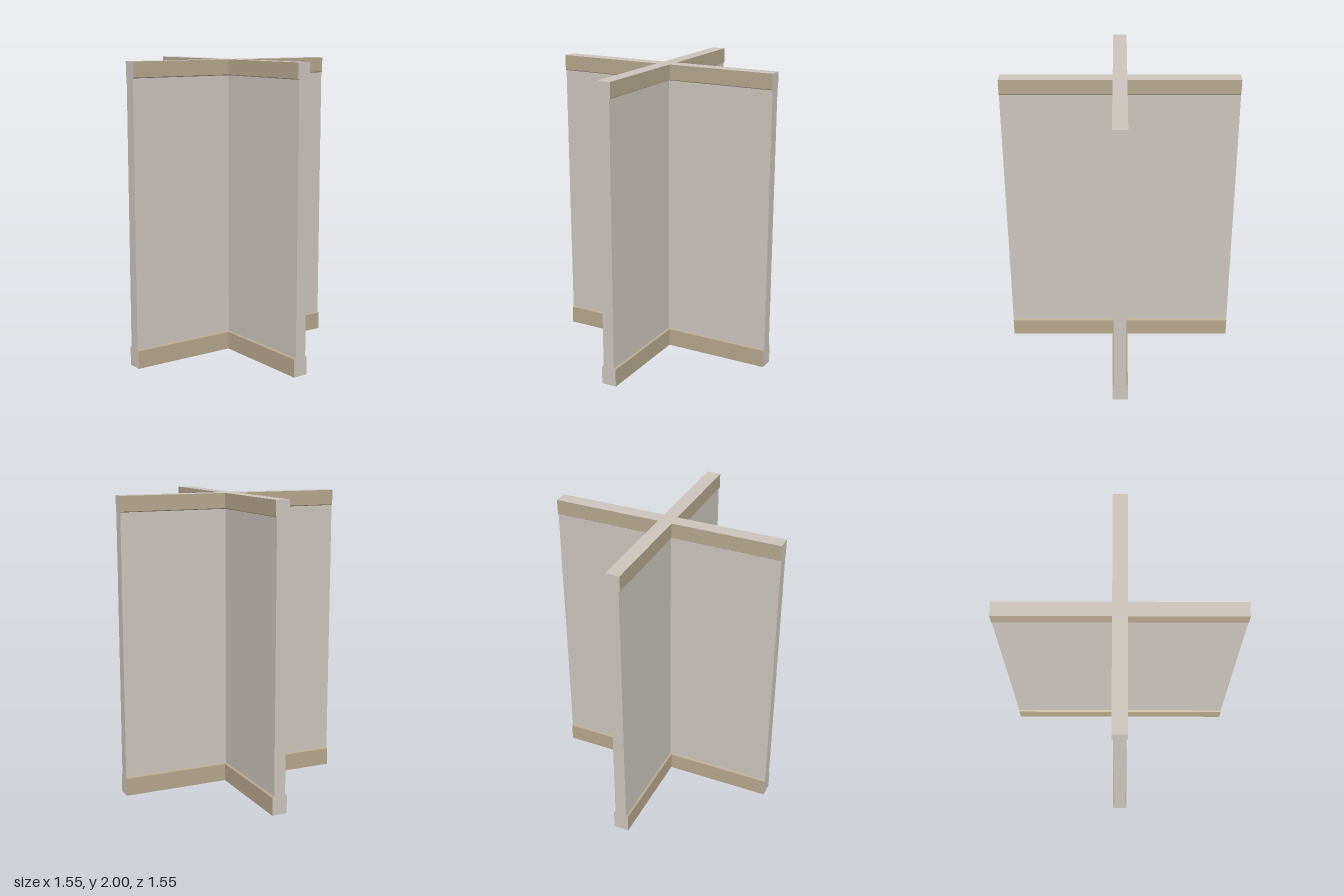
import * as THREE from 'three';

const REACH = 0.775; // length of each arm from the centre

// Cross-shaped outline [x, z] with half thickness t; every third edge is an arm tip
function crossOutline(t) {
  const points = [];
  for (let k = 0; k < 4; k++) {
    const dx = Math.round(Math.cos(k * Math.PI / 2));
    const dz = Math.round(Math.sin(k * Math.PI / 2));
    for (const [along, across] of [[REACH, -t], [REACH, t], [t, t]]) {
      points.push([dx * along - dz * across, dz * along + dx * across]);
    }
  }
  return points;
}

// Vertical skin through the levels [y, half thickness]; takes only tips or only sides
function skin(levels, tips) {
  const positions = [];
  for (let l = 0; l < levels.length - 1; l++) {
    const [y0, t0] = levels[l];
    const [y1, t1] = levels[l + 1];
    const low = crossOutline(t0), high = crossOutline(t1);
    for (let i = 0; i < 12; i++) {
      if ((i % 3 === 0) !== tips) continue;
      const j = (i + 1) % 12;
      const a = [low[i][0], y0, low[i][1]], b = [low[j][0], y0, low[j][1]];
      const c = [high[j][0], y1, high[j][1]], d = [high[i][0], y1, high[i][1]];
      positions.push(...a, ...d, ...c, ...a, ...c, ...b);
    }
  }
  const geometry = new THREE.BufferGeometry();
  geometry.setAttribute('position', new THREE.Float32BufferAttribute(positions, 3));
  geometry.computeVertexNormals();
  return geometry;
}

// Flat cross closing the top or the bottom
function cap(y, t, up) {
  const shape = new THREE.Shape(crossOutline(t).map(([x, z]) => new THREE.Vector2(x, z)));
  return new THREE.ShapeGeometry(shape).rotateX(up ? -Math.PI / 2 : Math.PI / 2).translate(0, y, 0);
}

export function createModel() {
  const plaster = new THREE.MeshStandardMaterial({ color: 0xcac4bc });
  plaster.name = 'warm grey plaster';
  const trim = new THREE.MeshStandardMaterial({ color: 0xb4a78c });
  trim.name = 'tan trim';

  const group = new THREE.Group();
  group.name = 'crossWall';
  const add = (name, geometry, material) => {
    const mesh = new THREE.Mesh(geometry, material);
    mesh.name = name;
    group.add(mesh);
  };

  const base = [[0, 0.052], [0.12, 0.052], [0.127, 0.039]];
  const wall = [[0.127, 0.039], [1.895, 0.039]];
  const crown = [[1.895, 0.039], [1.9, 0.047], [2, 0.047]];

  // Long faces
  add('baseboard', skin(base, false), trim);
  add('wallPanels', skin(wall, false), plaster);
  add('crownTrim', skin(crown, false), trim);

  // Cut ends of the arms, following the trim profile
  add('wallEnds', skin([...base, ...wall.slice(1), ...crown.slice(1)], true), plaster);

  // Cut top and bottom
  add('wallTop', cap(2, 0.047, true), plaster);
  add('wallBottom', cap(0, 0.052, false), plaster);

  return group;
}
